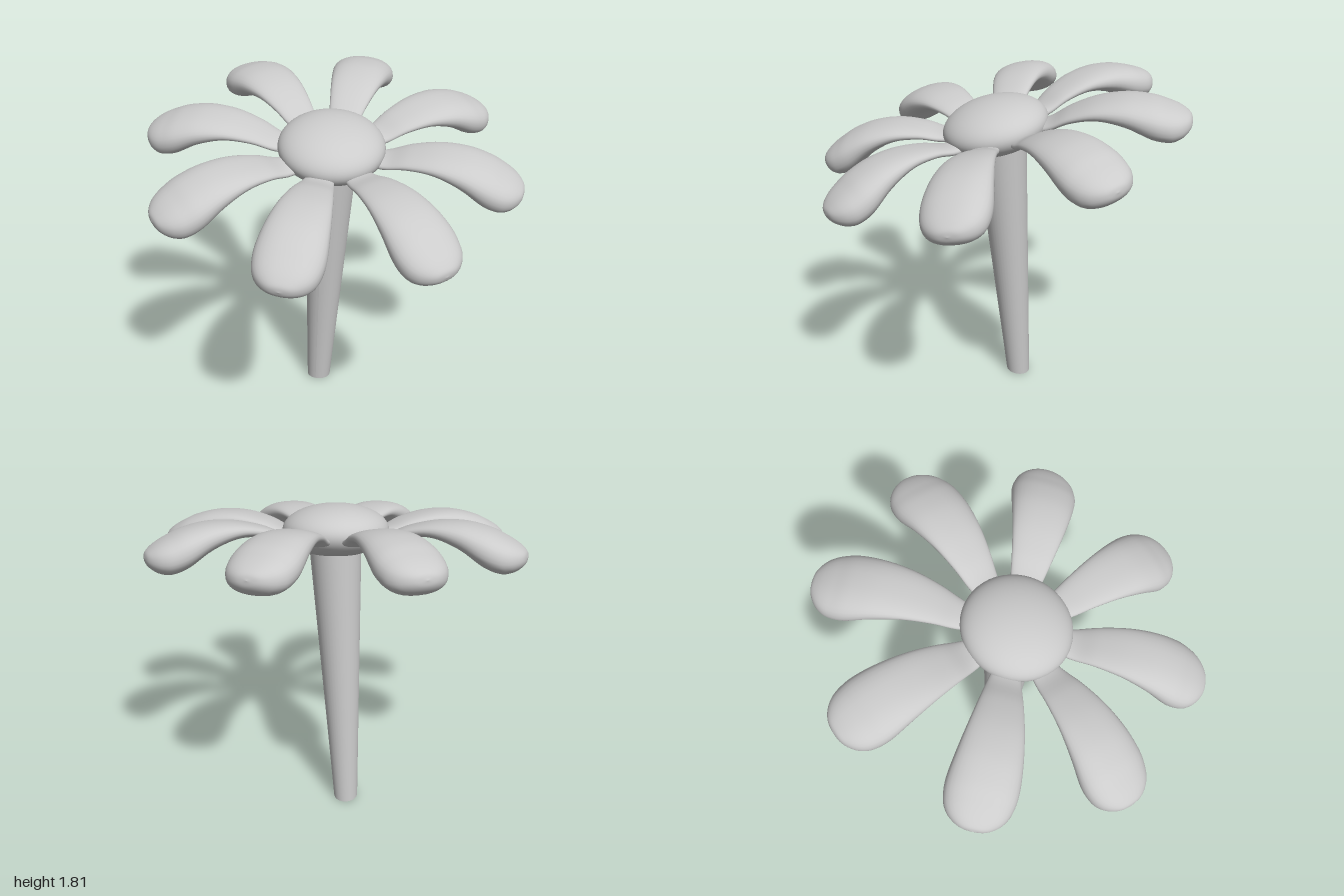
import * as THREE from 'three';

const material = new THREE.MeshStandardMaterial({ color: 0xcccccc });

// Petal stations from base to tip: [radius, top height, underside height, half width]
const STATIONS = [
  [0.15, -0.01, -0.06, 0.05], [0.28, 0.0, -0.05, 0.08], [0.4, 0.045, -0.015, 0.105],
  [0.54, 0.075, -0.01, 0.132], [0.68, 0.077, -0.06, 0.156], [0.8, 0.052, -0.138, 0.17],
  [0.88, 0.018, -0.165, 0.16], [0.93, -0.008, -0.158, 0.136], [0.965, -0.032, -0.138, 0.1],
  [0.988, -0.055, -0.112, 0.055], [0.996, -0.082, -0.082, 0.0],
];

// Lofted petal pointing along +x: rounded oval sections, thin at the base, heavy drooping tip
function petalGeometry(rings = 50, sides = 32) {
  const spline = (f) => new THREE.CatmullRomCurve3(STATIONS.map(f), false, 'catmullrom');
  const heights = spline(([r, top, low]) => new THREE.Vector3(r, top, low));
  const widths = spline(([r, , , w]) => new THREE.Vector3(r, 0, w));
  const soften = (v) => Math.sign(v) * Math.abs(v) ** 0.88;
  const positions = [], index = [];
  for (let i = 0; i <= rings; i++) {
    const p = heights.getPoint(i / rings);
    const w = Math.max(widths.getPoint(i / rings).z, 0.0005);
    const mid = (p.y + p.z) / 2, half = Math.max((p.y - p.z) / 2, 0.0005);
    for (let j = 0; j < sides; j++) {
      const a = (j / sides) * Math.PI * 2;
      positions.push(p.x, mid + half * soften(Math.sin(a)), w * soften(Math.cos(a)));
      if (i === rings) continue;
      const k = (j + 1) % sides, A = i * sides, B = A + sides;
      index.push(A + j, B + j, A + k, B + j, B + k, A + k);
    }
  }
  const g = new THREE.BufferGeometry();
  g.setAttribute('position', new THREE.Float32BufferAttribute(positions, 3));
  g.setIndex(index);
  g.computeVertexNormals();
  return g;
}

// Tapered stem leaning towards the head, with a slanted cut at the foot
function stemGeometry() {
  const height = 1.57;
  const g = new THREE.CylinderGeometry(0.138, 0.068, height, 40, 1);
  const pos = g.attributes.position;
  for (let i = 0; i < pos.count; i++) {
    const t = pos.getY(i) / height + 0.5;
    const x = pos.getX(i), z = pos.getZ(i);
    const slant = (1 - t) * 0.11 * z;
    pos.setXYZ(i, x - 0.115 + 0.109 * t, 0.008 + height * t + slant, z - 0.108 + 0.085 * t);
  }
  g.computeVertexNormals();
  return g;
}

export function createModel() {
  const flower = new THREE.Group();
  flower.name = 'flower';

  const stem = new THREE.Mesh(stemGeometry(), material);
  stem.name = 'stem';
  flower.add(stem);

  // Tilted flower head
  const head = new THREE.Group();
  head.name = 'flowerHead';
  head.position.set(0, 1.605, 0);
  head.quaternion.setFromUnitVectors(
    new THREE.Vector3(0, 1, 0), new THREE.Vector3(0.09, 1, 0.19).normalize());
  flower.add(head);

  const centre = new THREE.Mesh(new THREE.SphereGeometry(0.277, 48, 32), material);
  centre.name = 'flowerCentre';
  centre.scale.y = 0.49;
  head.add(centre);

  // Ring of eight petals
  const geometry = petalGeometry();
  for (let i = 0; i < 8; i++) {
    const petal = new THREE.Mesh(geometry, material);
    petal.name = `petal${i + 1}`;
    petal.rotation.y = 0.05 + (i * Math.PI) / 4;
    head.add(petal);
  }
  return flower;
}
